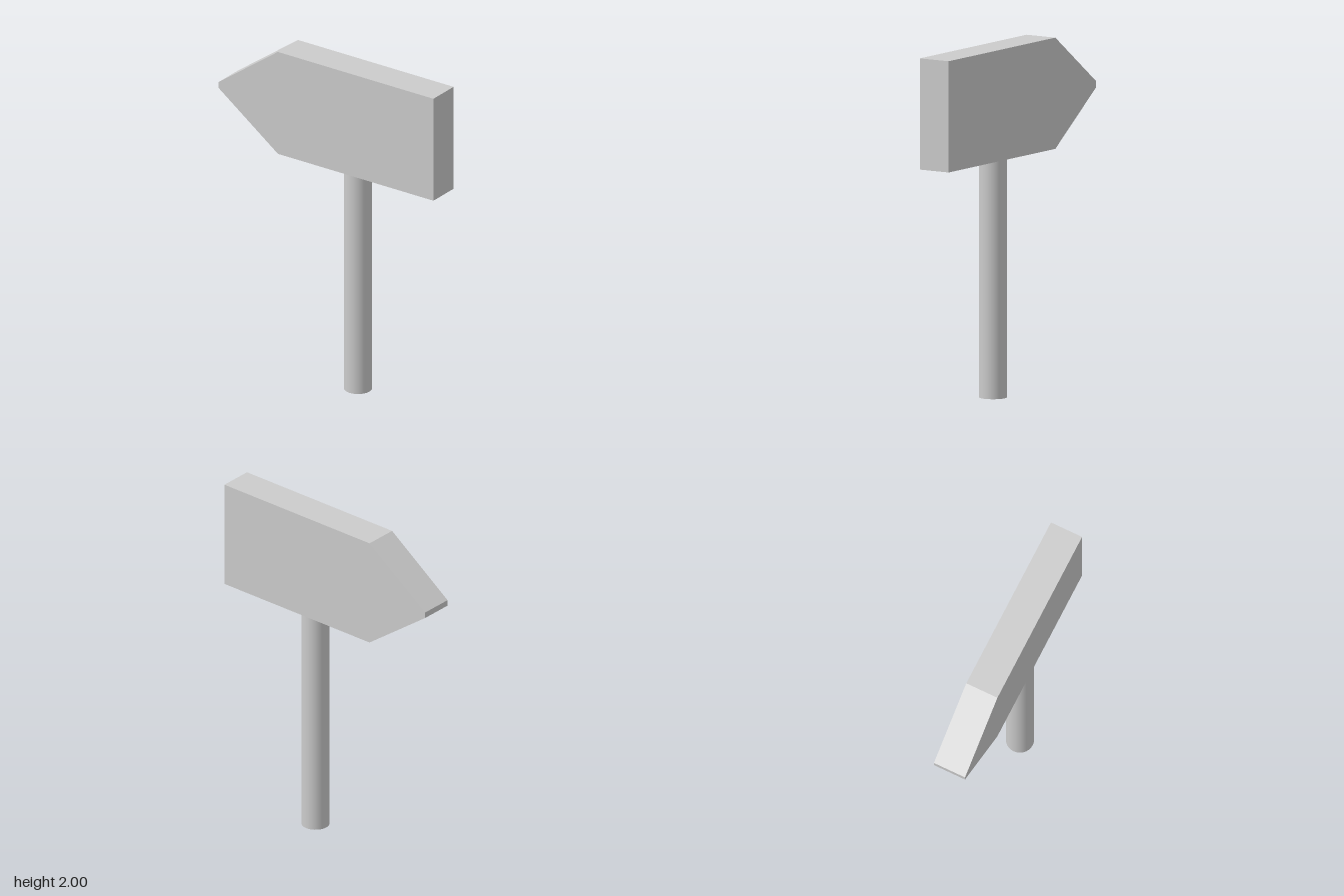
import * as THREE from 'three';

export function createModel() {
  const hammer = new THREE.Group();
  hammer.name = 'hammer';
  const material = new THREE.MeshStandardMaterial({ color: 0xcccccc });

  // Head: side profile (z, y) with a blunt wedge at the back, extruded across x
  const width = 0.196;
  const profile = new THREE.Shape([
    [0.745, 1.365], [0.745, 2], [-0.333, 2],
    [-0.745, 1.7], [-0.745, 1.665], [-0.333, 1.365],
  ].map(([z, y]) => new THREE.Vector2(z, y)));
  const headGeometry = new THREE.ExtrudeGeometry(profile, { depth: width, bevelEnabled: false });
  headGeometry.translate(0, 0, -width / 2);
  headGeometry.rotateY(-Math.PI / 2);
  const head = new THREE.Mesh(headGeometry, material);
  head.name = 'head';

  // Handle: smooth round shaft up to the underside of the head
  const length = 1.365;
  const handle = new THREE.Mesh(new THREE.CylinderGeometry(0.08, 0.08, length, 48), material);
  handle.position.set(0, length / 2, 0.152);
  handle.name = 'handle';

  hammer.add(head, handle);
  return hammer;
}
